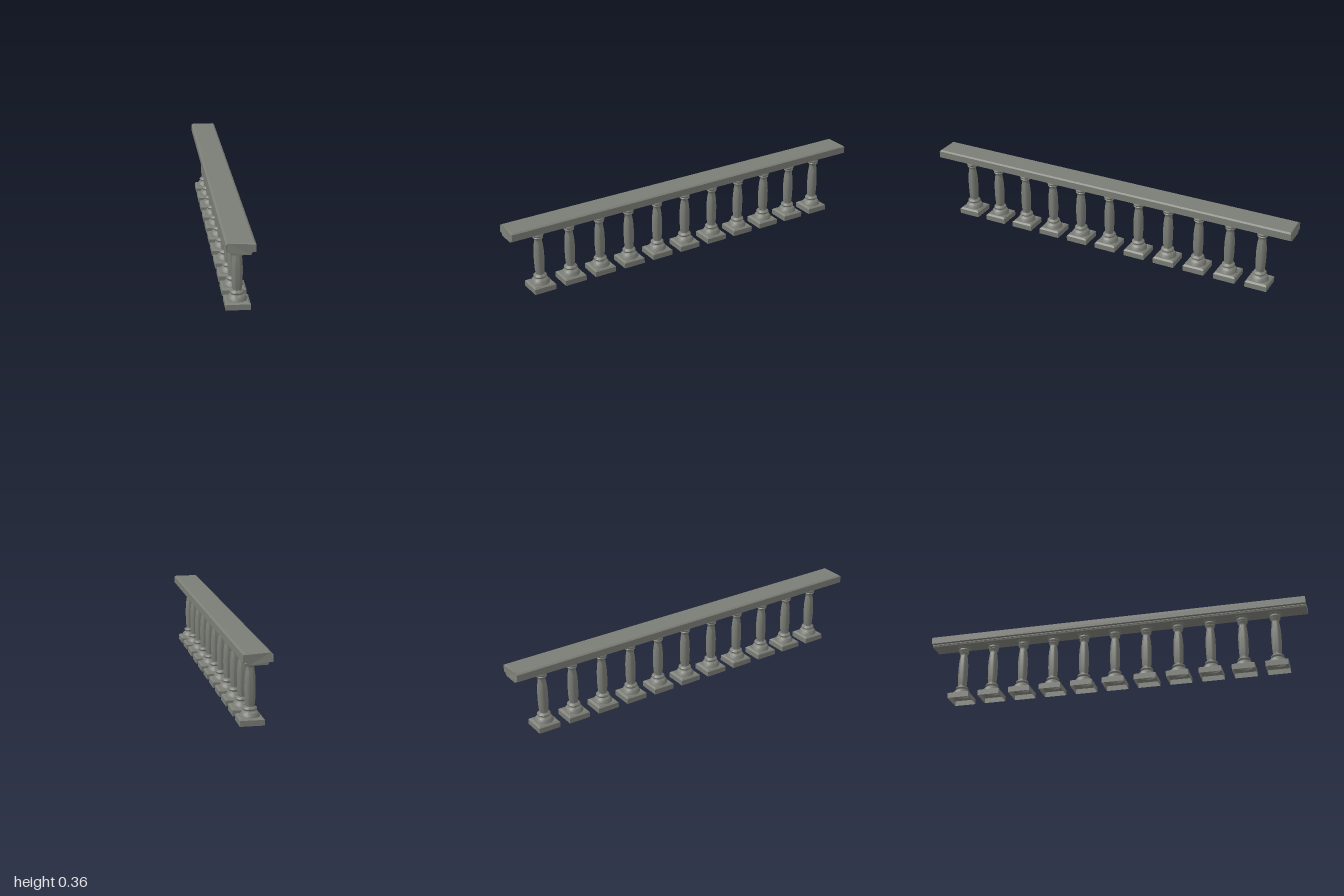
import * as THREE from 'three';
import { toCreasedNormals } from 'three/addons/utils/BufferGeometryUtils.js';

const COUNT = 11;
const SPACING = 0.1675;

const vectors = (list) => list.map(([x, y]) => new THREE.Vector2(x, y));

// Stepped handrail: half cross-section mirrored and extruded along z
function railGeometry() {
  const half = [
    [0.042, 0.309], [0.046, 0.311], [0.0475, 0.317], [0.05, 0.318], [0.05, 0.322],
    [0.067, 0.322], [0.067, 0.357], [0.058, 0.363],
  ];
  const mirrored = half.map(([x, y]) => [-x, y]).reverse();
  const shape = new THREE.Shape(vectors([...half, ...mirrored]));
  const geometry = new THREE.ExtrudeGeometry(shape, { depth: 2, bevelEnabled: false });
  geometry.translate(0, 0, -1);
  // Small chamfer on the top edge of both ends
  const p = geometry.attributes.position;
  for (let i = 0; i < p.count; i++) {
    if (p.getY(i) > 0.36) p.setZ(i, p.getZ(i) * 0.994);
  }
  geometry.computeVertexNormals();
  return geometry;
}

// Turned shaft, hollow and open at the bottom
function shaftGeometry() {
  const profile = [
    // domed foot
    [0.047, 0.034], [0.0455, 0.041], [0.042, 0.048], [0.037, 0.054], [0.031, 0.058], [0.027, 0.06],
    // lower ring
    [0.027, 0.062], [0.031, 0.063], [0.0335, 0.067], [0.0335, 0.071], [0.031, 0.075], [0.025, 0.077],
    // swelling column
    [0.021, 0.08], [0.0225, 0.09], [0.0245, 0.11], [0.0255, 0.135], [0.026, 0.16], [0.0258, 0.19],
    [0.0245, 0.215], [0.022, 0.24], [0.019, 0.258], [0.0185, 0.265],
    // upper rings and capital
    [0.021, 0.271], [0.0255, 0.276], [0.026, 0.279], [0.0235, 0.282], [0.0245, 0.285],
    [0.028, 0.289], [0.0285, 0.292], [0.0265, 0.296], [0.0245, 0.299], [0.028, 0.302],
    [0.032, 0.305], [0.034, 0.31],
  ];
  return toCreasedNormals(new THREE.LatheGeometry(vectors(profile), 24), 0.8);
}

// Square plinth walls with a chamfered upper edge
function plinthGeometry() {
  const profile = [[0.0575, 0], [0.0575, 0.027], [0.048, 0.034]]
    .map(([x, y]) => [x * Math.SQRT2, y]);
  return toCreasedNormals(new THREE.LatheGeometry(vectors(profile), 4, Math.PI / 4), 0.3);
}

// Flat plinth top with a round opening under the shaft
function plinthTopGeometry() {
  const s = 0.048;
  const shape = new THREE.Shape(vectors([[-s, -s], [s, -s], [s, s], [-s, s]]));
  const hole = new THREE.Path();
  hole.absarc(0, 0, 0.0465, 0, Math.PI * 2, true);
  shape.holes.push(hole);
  const geometry = new THREE.ShapeGeometry(shape, 12);
  geometry.rotateX(-Math.PI / 2);
  geometry.translate(0, 0.034, 0);
  return geometry;
}

export function createModel() {
  const stone = new THREE.MeshStandardMaterial({ color: 0x7b7d76, side: THREE.DoubleSide });
  stone.name = 'grey stone';

  const model = new THREE.Group();
  model.name = 'balustrade';

  const addMesh = (parent, name, geometry) => {
    const mesh = new THREE.Mesh(geometry, stone);
    mesh.name = name;
    parent.add(mesh);
  };

  addMesh(model, 'handrail', railGeometry());

  // Row of identical balusters
  const parts = {
    shaft: shaftGeometry(),
    plinth: plinthGeometry(),
    plinthTop: plinthTopGeometry(),
  };
  for (let i = 0; i < COUNT; i++) {
    const baluster = new THREE.Group();
    baluster.name = `baluster${i + 1}`;
    for (const [name, geometry] of Object.entries(parts)) addMesh(baluster, name, geometry);
    baluster.position.set(0.001, 0, (i - (COUNT - 1) / 2) * SPACING);
    model.add(baluster);
  }
  return model;
}
